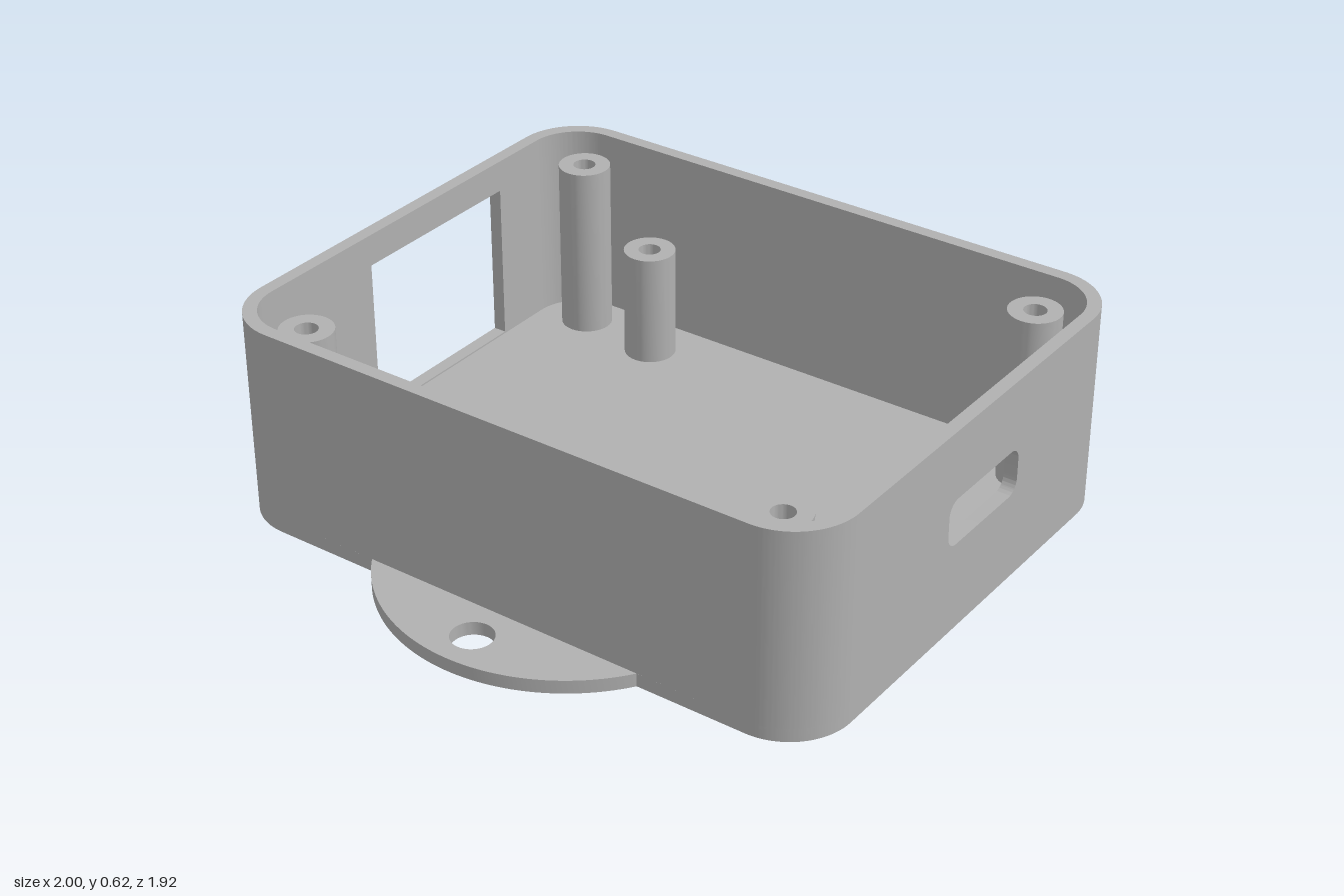
import * as THREE from 'three';
import { toCreasedNormals } from 'three/addons/utils/BufferGeometryUtils.js';

const W = 0.77, D = 0.96, H = 0.62;   // half width, half depth, height
const T = 0.04, R = 0.19;             // wall thickness, corner radius
const plastic = new THREE.MeshStandardMaterial({ color: 0xb0b0b0 });
plastic.name = 'grey plastic';

function extrude(shape, depth) {
  const g = new THREE.ExtrudeGeometry(shape, { depth, bevelEnabled: false, curveSegments: 24 });
  return toCreasedNormals(g, 0.6);
}

// Plan shape (x, -z) raised from y0 to y1
function raise(shape, y0, y1) {
  return extrude(shape, y1 - y0).rotateX(-Math.PI / 2).translate(0, y0, 0);
}

function circle(x, y, r, Type = THREE.Path) {
  return new Type().absarc(x, y, r, 0, Math.PI * 2, false);
}

function rect(x0, y0, x1, y1, Type = THREE.Path) {
  const p = new Type();
  p.moveTo(x0, y0).lineTo(x1, y0).lineTo(x1, y1).lineTo(x0, y1).closePath();
  return p;
}

function roundRect(x0, y0, x1, y1, r) {
  const p = new THREE.Path();
  p.absarc(x1 - r, y0 + r, r, -Math.PI / 2, 0, false);
  p.absarc(x1 - r, y1 - r, r, 0, Math.PI / 2, false);
  p.absarc(x0 + r, y1 - r, r, Math.PI / 2, Math.PI, false);
  p.absarc(x0 + r, y0 + r, r, Math.PI, Math.PI * 1.5, false);
  p.closePath();
  return p;
}

export function createModel() {
  const model = new THREE.Group();
  model.name = 'enclosure';
  const add = (name, geometry, parent = model) => {
    const mesh = new THREE.Mesh(geometry, plastic);
    mesh.name = name;
    parent.add(mesh);
    return mesh;
  };

  // Base plate: rounded floor with a curved mounting ear on each side
  const earR = 0.536, earX = 1 - earR, earA = Math.asin(0.44 / earR);
  const cx = W - R, cz = D - R, q = Math.PI / 2;
  const base = new THREE.Shape();
  base.absarc(cx, -cz, R, -q, 0, false);
  base.absarc(earX, 0, earR, -earA, earA, false);
  base.absarc(cx, cz, R, 0, q, false);
  base.absarc(-cx, cz, R, q, 2 * q, false);
  base.absarc(-earX, 0, earR, Math.PI - earA, Math.PI + earA, false);
  base.absarc(-cx, -cz, R, 2 * q, 3 * q, false);
  base.closePath();
  for (const s of [-1, 1]) base.holes.push(circle(s * 0.885, 0, 0.06));
  add('basePlate', raise(base, 0, T));

  // Walls: four straight panels joined by rounded corners
  const walls = new THREE.Group();
  walls.name = 'walls';
  model.add(walls);

  const front = rect(-cx, T, cx, H, THREE.Shape);
  front.holes.push(roundRect(-0.14, 0.27, 0.21, 0.41, 0.04));
  add('frontWall', extrude(front, T).translate(0, 0, D - T), walls);

  const back = rect(-cx, T, cx, H, THREE.Shape);
  back.holes.push(rect(-0.18, 0.045, 0.4, 0.525), circle(-0.37, 0.23, 0.08));
  add('backWall', extrude(back, T).translate(0, 0, -D), walls);

  for (const [name, s] of [['leftWall', 1], ['rightWall', -1]]) {
    const side = new THREE.BoxGeometry(T, H - T, 2 * cz);
    add(name, side.translate(s * (W - T / 2), (H + T) / 2, 0), walls);
  }

  const corner = new THREE.Shape();
  corner.absarc(0, 0, R, 0, q, false);
  corner.absarc(0, 0, R - T, q, 0, true);
  corner.closePath();
  const cornerGeometry = raise(corner, T, H);
  [[1, -1], [-1, -1], [-1, 1], [1, 1]].forEach(([sx, sz], i) => {
    const mesh = add('cornerWall', cornerGeometry, walls);
    mesh.position.set(sx * cx, 0, sz * cz);
    mesh.rotation.y = i * q;
  });

  // Screw posts: four tall ones for the lid, two shorter ones for the board
  const ring = circle(0, 0, 0.077, THREE.Shape);
  ring.holes.push(circle(0, 0, 0.033));
  const lidPost = raise(ring, T, 0.57);
  const boardPost = raise(ring, T, 0.382);
  for (const sx of [-1, 1]) {
    for (const sz of [-1, 1]) {
      add('lidPost', lidPost).position.set(sx * 0.615, 0, sz * 0.768);
    }
    add('boardPost', boardPost).position.set(sx * 0.577, 0, -sx * 0.5);
  }
  return model;
}
